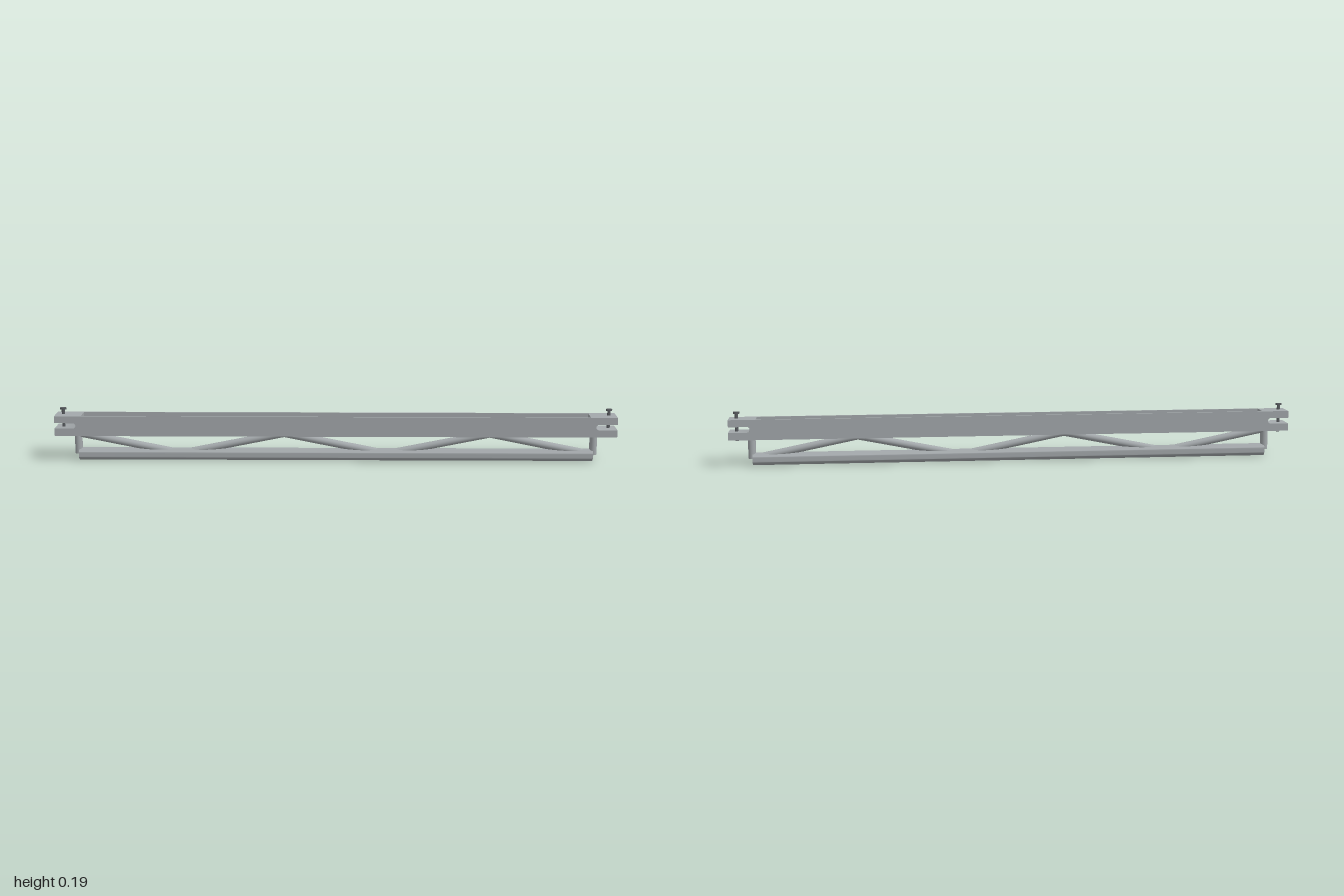
import * as THREE from 'three';
import { toCreasedNormals } from 'three/addons/utils/BufferGeometryUtils.js';

const steel = new THREE.MeshStandardMaterial({ color: 0xa3a8ab });
steel.name = 'steel grey';
const dark = new THREE.MeshStandardMaterial({ color: 0x5a5d61 });
dark.name = 'dark bolt grey';

const BOTTOM = 0.095, TOP = 0.167, HALF_DEPTH = 0.037; // upper beam
const BLOCK_X = 0.905;                                 // inner face of end blocks
const TUBE_Y = 0.022, TUBE_X = 0.92;                   // lower tube
const ROD_R = 0.0135;

function add(parent, name, geometry, material, x = 0, y = 0, z = 0) {
  const mesh = new THREE.Mesh(geometry, material);
  mesh.name = name;
  mesh.position.set(x, y, z);
  parent.add(mesh);
  return mesh;
}

function polygon(points) {
  return new THREE.Shape(points.map(([x, y]) => new THREE.Vector2(x, y)));
}

// Extrude a profile along x, centred on x = 0
function extrudeAlongX(shape, length) {
  const g = new THREE.ExtrudeGeometry(shape, { depth: length, bevelEnabled: false, curveSegments: 32 });
  g.translate(0, 0, -length / 2).rotateY(Math.PI / 2);
  return toCreasedNormals(g, 0.6);
}

// Solid end block with a round-ended slot open to the outside
function endBlockGeometry() {
  const r = 0.01, slotY = 0.132, slotX = 0.925 + r;
  const s = new THREE.Shape();
  s.moveTo(BLOCK_X, BOTTOM);
  s.lineTo(1, BOTTOM);
  s.lineTo(1, slotY - r);
  s.lineTo(slotX, slotY - r);
  s.absarc(slotX, slotY, r, -Math.PI / 2, -Math.PI * 1.5, true);
  s.lineTo(1, slotY + r);
  s.lineTo(1, TOP);
  s.lineTo(BLOCK_X, TOP);
  s.closePath();
  const g = new THREE.ExtrudeGeometry(s, { depth: HALF_DEPTH * 2, bevelEnabled: false });
  g.translate(0, 0, -HALF_DEPTH);
  return toCreasedNormals(g, 0.6);
}

// Bracing rod between two points, sheared so its ends are mitred vertically
function rodGeometry(x0, y0, x1, y1) {
  const g = new THREE.CylinderGeometry(ROD_R, ROD_R, x1 - x0, 28);
  g.rotateZ(-Math.PI / 2);
  const slope = (y1 - y0) / (x1 - x0);
  g.applyMatrix4(new THREE.Matrix4().set(
    1, 0, 0, 0,
    slope, 1, 0, 0,
    0, 0, 1, 0,
    0, 0, 0, 1));
  return g.translate((x0 + x1) / 2, (y0 + y1) / 2, 0);
}

export function createModel() {
  const model = new THREE.Group();
  model.name = 'trussBeam';

  // Upper channel, open at the top
  const t = 0.006, h = HALF_DEPTH;
  const channel = polygon([
    [-h, BOTTOM], [h, BOTTOM], [h, TOP], [h - t, TOP],
    [h - t, BOTTOM + t], [-h + t, BOTTOM + t], [-h + t, TOP], [-h, TOP],
  ]);
  add(model, 'channelBeam', extrudeAlongX(channel, BLOCK_X * 2), steel);

  // Hollow lower tube
  const ring = new THREE.Shape().absarc(0, 0, 0.022, 0, Math.PI * 2);
  ring.holes.push(new THREE.Path().absarc(0, 0, 0.0185, 0, Math.PI * 2, true));
  add(model, 'lowerTube', extrudeAlongX(ring, TUBE_X * 2), steel, 0, TUBE_Y);

  // Zigzag bracing, starting high on the right
  const step = TUBE_X * 2 / 5, peakY = 0.098, lowY = 0.024;
  for (let i = 0; i < 5; i++) {
    const x = -TUBE_X + i * step;
    const [y0, y1] = i % 2 === 0 ? [peakY, lowY] : [lowY, peakY];
    add(model, 'bracingRod', rodGeometry(x, y0, x + step, y1), steel);
  }

  // Slotted blocks, posts and clamping bolts at both ends
  const block = endBlockGeometry();
  for (const side of [1, -1]) {
    const end = new THREE.Group();
    end.name = side > 0 ? 'leftEnd' : 'rightEnd';
    if (side < 0) end.rotation.y = Math.PI;
    model.add(end);

    add(end, 'slottedBlock', block, steel);
    const postH = BOTTOM - 0.024;
    add(end, 'endPost', new THREE.CylinderGeometry(ROD_R, ROD_R, postH, 28), steel, 0.922, 0.024 + postH / 2);

    const bolt = new THREE.Group();
    bolt.name = 'clampBolt';
    bolt.position.x = 0.973;
    bolt.scale.x = 1.9;
    end.add(bolt);
    add(bolt, 'boltShaft', new THREE.CylinderGeometry(0.003, 0.003, 0.099, 16), dark, 0, 0.1365);
    add(bolt, 'boltHead', new THREE.CylinderGeometry(0.006, 0.006, 0.007, 16), dark, 0, 0.1875);
  }
  return model;
}
